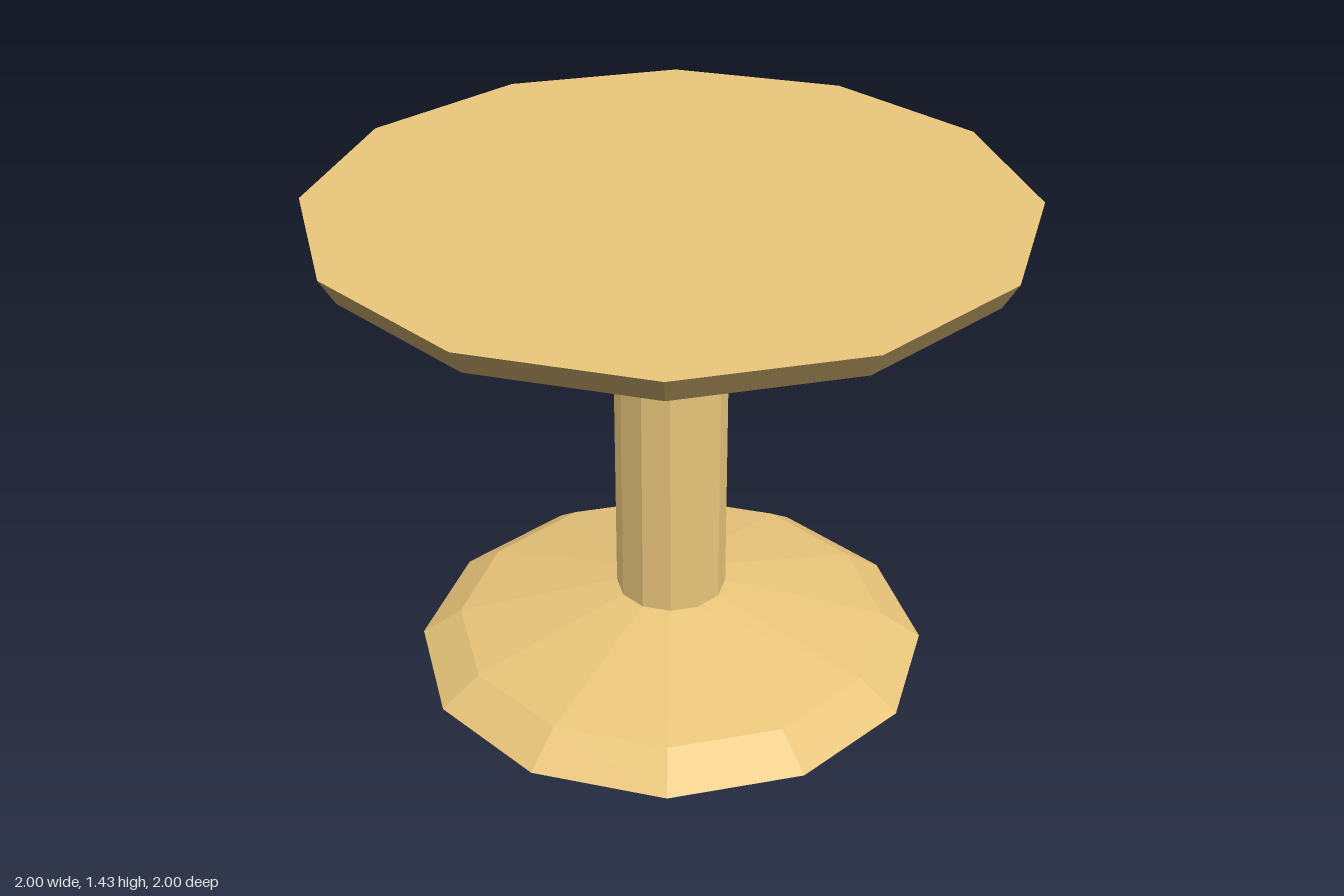
import * as THREE from 'three';

const SIDES = 12;

export function createModel() {
  const group = new THREE.Group();
  group.name = 'pedestalTable';
  const wood = new THREE.MeshStandardMaterial({ color: 0xe7c479 });
  wood.name = 'light wood';
  const darkWood = new THREE.MeshStandardMaterial({ color: 0x9f8754 });
  darkWood.name = 'dark wood';

  // Turns a profile (radius, height; bottom to top) into a faceted part
  const turned = (name, material, profile) => {
    const points = profile.map(([r, y]) => new THREE.Vector2(r, y));
    const geometry = new THREE.LatheGeometry(points, SIDES).toNonIndexed();
    geometry.computeVertexNormals(); // one normal per facet
    const mesh = new THREE.Mesh(geometry, material);
    mesh.name = name;
    group.add(mesh);
  };

  // Sloped foot with a steeper outer rim, closed underneath
  turned('base', wood, [[0, 0], [0.754, 0], [0.637, 0.08], [0.162, 0.2]]);
  // Straight column
  turned('column', wood, [[0.162, 0.2], [0.162, 1.252]]);
  // Top with a shallow conical underside, dark bevelled edge and flat surface
  turned('topUnderside', wood, [[0.162, 1.252], [0.957, 1.359]]);
  turned('topEdge', darkWood, [[0.957, 1.359], [1, 1.433]]);
  turned('topSurface', wood, [[1, 1.433], [0, 1.433]]);

  return group;
}
